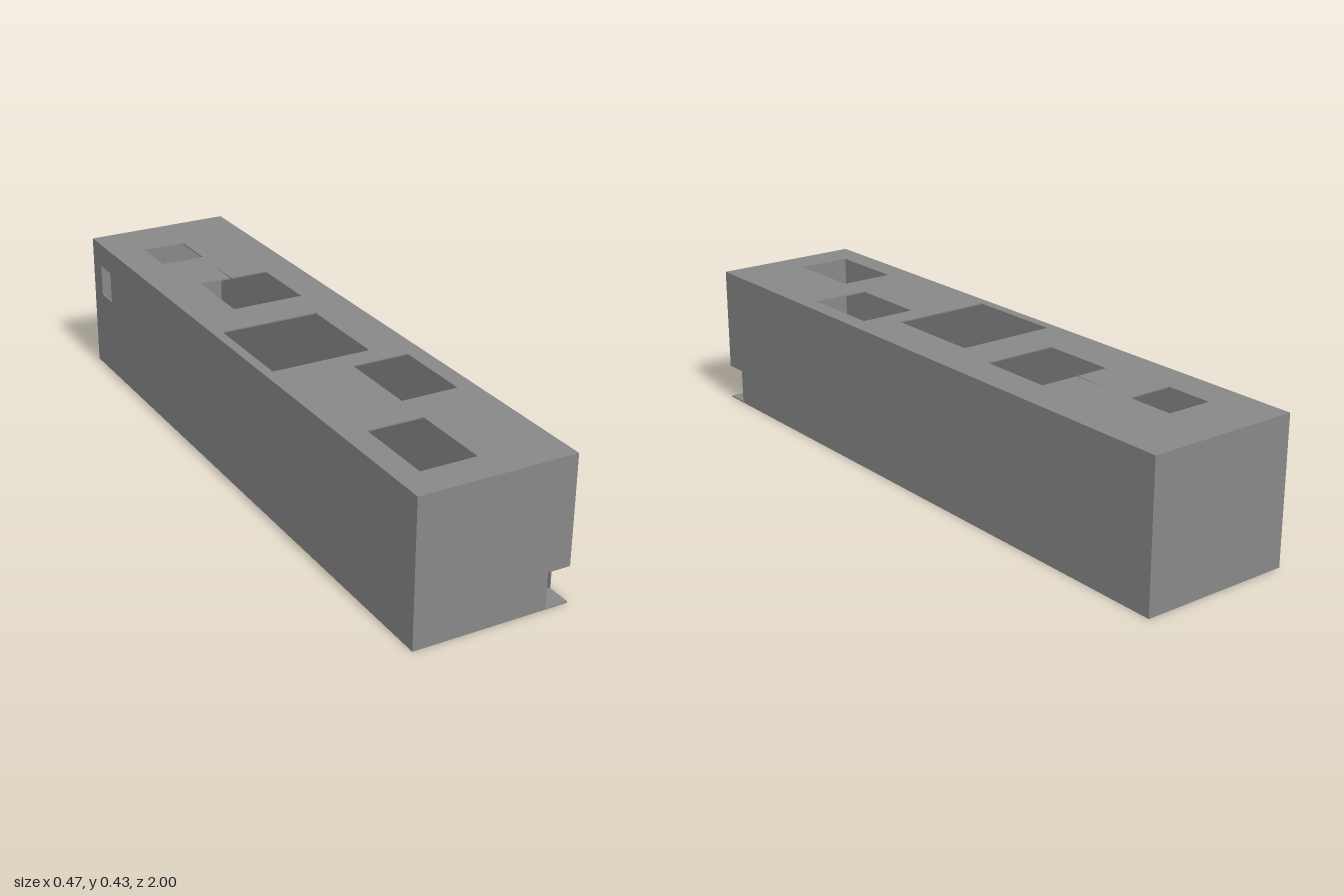
import * as THREE from 'three';

const W = 0.2325, L = 1, H = 0.43, T = 0.004; // half width, half length, height, wall thickness
const material = new THREE.MeshStandardMaterial({ color: 0x888888 });

const points = list => list.map(([x, y]) => new THREE.Vector2(x, y));
const rect = (x0, x1, y0, y1) => [[x0, y0], [x1, y0], [x1, y1], [x0, y1]];

// Thin sheet cut from an outline with optional holes
function panel(outline, holes = []) {
  const shape = new THREE.Shape(points(outline));
  shape.holes = holes.map(h => new THREE.Path(points(h)));
  return new THREE.ExtrudeGeometry(shape, { depth: T, bevelEnabled: false });
}

export function createModel() {
  const group = new THREE.Group();
  const add = (name, geometry) => {
    const mesh = new THREE.Mesh(geometry, material);
    mesh.name = name;
    group.add(mesh);
  };

  // Floor
  add('floor', new THREE.BoxGeometry(2 * W, T, 2 * L).translate(0, T / 2, 0));

  // Roof with five openings; the second has a narrow tapering slit at its back edge
  const openings = [
    rect(-0.128, 0.01, -0.819, -0.672),
    [[-0.097, -0.464], [0.005, -0.464], [0.007, -0.6], [0.009, -0.464],
      [0.127, -0.464], [0.127, -0.231], [-0.097, -0.231]],
    rect(-0.203, 0.1, -0.094, 0.217),
    rect(0.007, 0.18, 0.287, 0.541),
    rect(-0.161, 0.005, 0.647, 0.896),
  ];
  add('roof', panel(rect(-W, W, -L, L), openings).rotateX(Math.PI / 2).translate(0, H, 0));

  // End walls; the front one is cut away at the corner doorway
  const y0 = T, y1 = H - T, doorTop = 0.109, doorBack = 0.928;
  add('frontWall', panel([[-W, y0], [0.165, y0], [0.165, doorTop], [W, doorTop], [W, y1], [-W, y1]])
    .translate(0, 0, L - T));
  add('backWall', panel(rect(-W, W, y0, y1)).translate(0, 0, -L));

  // Side walls, drawn with -z to the right: doorway on the left wall, window on the right wall
  const e = L - T;
  add('leftWall', panel([[-doorBack, y0], [e, y0], [e, y1], [-e, y1], [-e, doorTop], [-doorBack, doorTop]])
    .rotateY(Math.PI / 2).translate(W - T, 0, 0));
  add('rightWall', panel(rect(-e, e, y0, y1), [rect(0.86, 0.938, 0.255, 0.355)])
    .rotateY(Math.PI / 2).translate(-W, 0, 0));

  return group;
}
